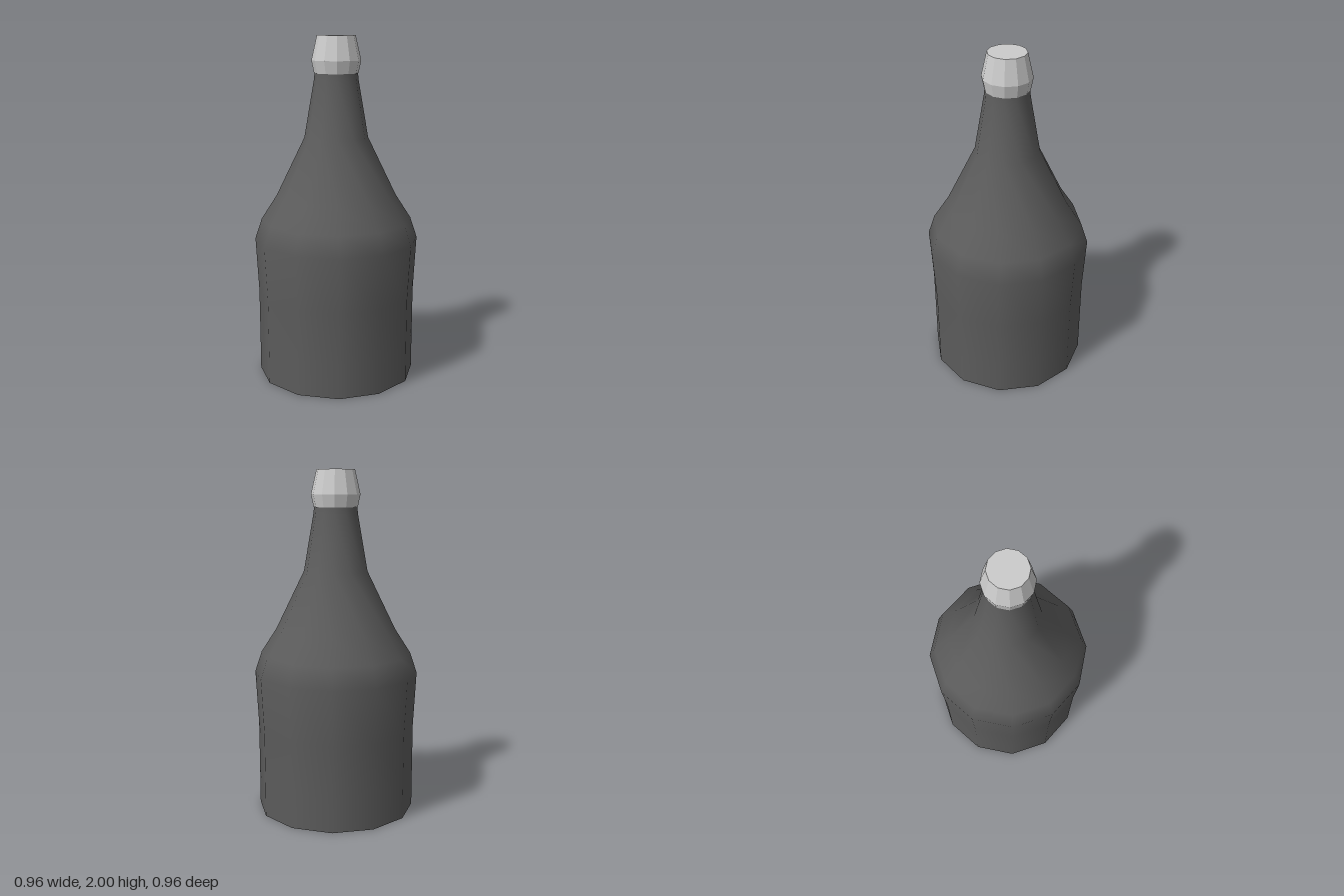
import * as THREE from 'three';

const SIDES = 12;

// Twelve-sided body of revolution from [radius, height] pairs, bottom to top
function turned(profile) {
  return new THREE.LatheGeometry(profile.map(([r, y]) => new THREE.Vector2(r, y)), SIDES);
}

export function createModel() {
  const model = new THREE.Group();
  model.name = 'bottle';
  const glass = new THREE.MeshStandardMaterial({ color: 0x5c5c5c });
  const corkMaterial = new THREE.MeshStandardMaterial({ color: 0xcccccc, flatShading: true });

  const add = (name, geometry, material) => {
    const mesh = new THREE.Mesh(geometry, material);
    mesh.name = name;
    model.add(mesh);
    return mesh;
  };

  // Smooth body, shoulder and neck
  add('bottleBody', turned([
    [0.462, 0], [0.462, 0.2], [0.463, 0.5], [0.48, 0.82], [0.44, 0.94],
    [0.35, 1.08], [0.185, 1.42], [0.128, 1.75], [0.124, 1.79],
  ]), glass);

  // Flat underside with a sharp edge
  add('bottleBase', new THREE.CircleGeometry(0.462, SIDES).rotateX(Math.PI / 2), glass);

  // Faceted stopper, closed at both ends
  add('cork', turned([
    [0, 1.788], [0.127, 1.788], [0.142, 1.86], [0.11, 2], [0, 2],
  ]), corkMaterial);

  return model;
}
